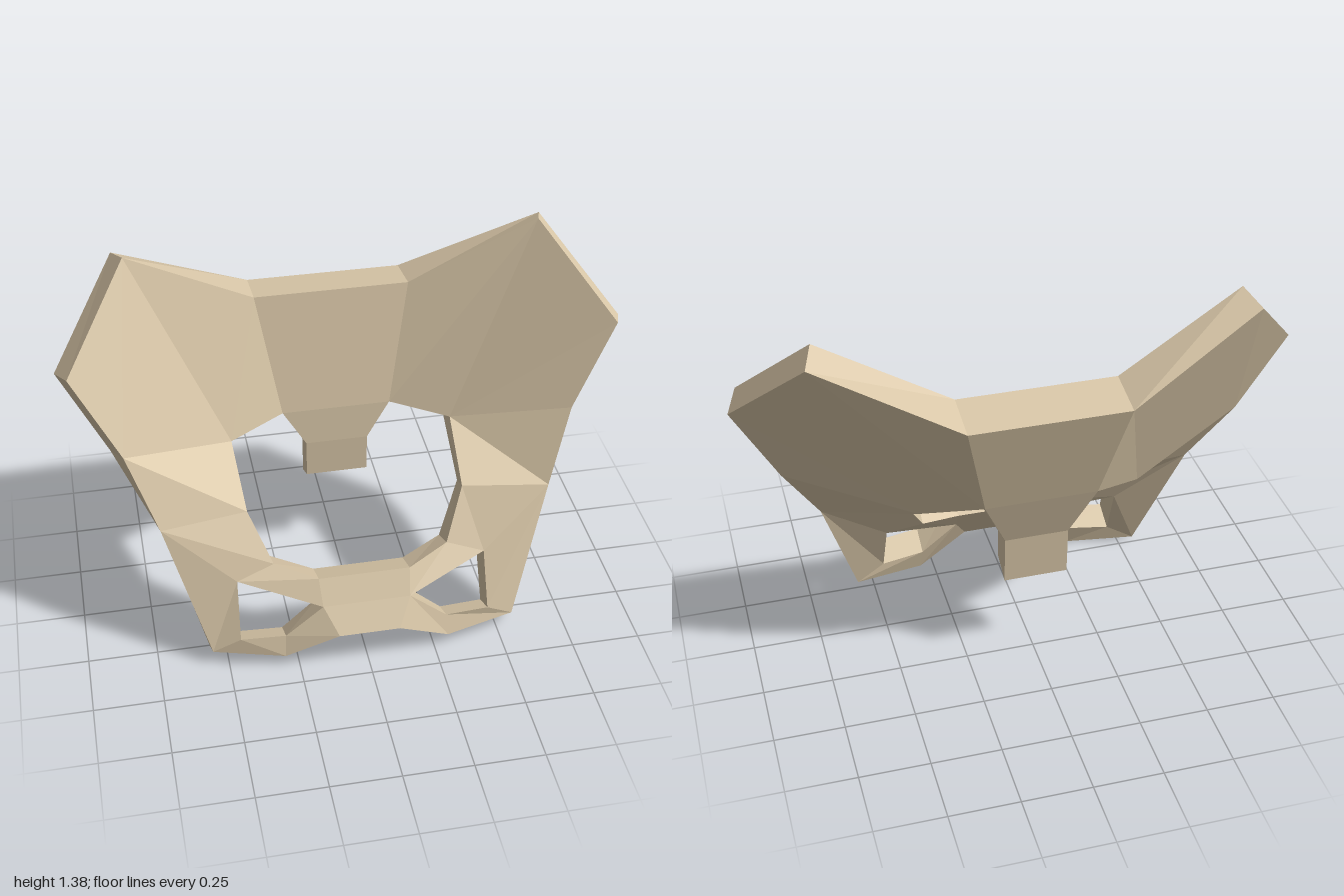
import * as THREE from 'three';

// Landmarks on the model's left half: [front-layer point, back-layer point].
const RIM = {
  A: [[0.28, 1.14, -0.28], [0.28, 1.11, -0.455]],   // top of sacrum
  B: [[0.73, 1.385, -0.22], [0.765, 1.35, -0.325]], // crest peak
  C: [[0.96, 1.095, 0.055], [1.0, 1.06, -0.05]],    // crest tip
  D: [[0.80, 0.79, 0.11], [0.84, 0.75, 0.0]],       // wing waist
  E: [[0.70, 0.54, 0.22], [0.70, 0.49, 0.11]],      // hip
  F: [[0.555, 0.06, 0.35], [0.56, 0.013, 0.265]],   // lower corner
  G: [[0.30, 0.05, 0.41], [0.30, 0.0, 0.32]],       // lower inner corner
  H: [[0.11, 0.15, 0.45], [0.11, 0.10, 0.36]],      // arch under the front joint
};
const OPENING = {
  J: [[0.165, 0.335, 0.34], [0.165, 0.285, 0.225]],
  K: [[0.315, 0.375, 0.275], [0.315, 0.32, 0.165]],
  L: [[0.39, 0.545, 0.175], [0.40, 0.49, 0.07]],
  M: [[0.405, 0.663, -0.09], [0.40, 0.635, -0.19]],
  N: [[0.20, 0.682, -0.20], [0.20, 0.73, -0.35]],
  P: [[0.115, 0.54, -0.19], [0.115, 0.535, -0.29]], // tail shoulder
  Q: [[0.115, 0.395, -0.19], [0.115, 0.35, -0.28]], // tail end
};
const LOWER_HOLE = {
  R: [[0.45, 0.33, 0.295], [0.45, 0.285, 0.19]],
  S: [[0.158, 0.245, 0.39], [0.16, 0.20, 0.285]],
  T: [[0.295, 0.13, 0.39], [0.295, 0.085, 0.295]],
  U: [[0.455, 0.12, 0.37], [0.455, 0.075, 0.275]],
};
const POINTS = { ...RIM, ...OPENING, ...LOWER_HOLE };

// Front-layer quads, counter-clockwise; lower case means mirrored to the right.
const WING = ['NMBA', 'MDCB', 'MLED'];
const LOWER = ['LKRE', 'ERUF', 'FUTG', 'GTSH', 'KJSR'];
const PARTS = {
  sacrum: ['nNAa', 'pPNn', 'qQPp'],
  frontJoint: ['jsSJ', 'shHS'],
  leftWing: WING,
  rightWing: WING.map(mirror),
  leftLowerFrame: LOWER,
  rightLowerFrame: LOWER.map(mirror),
};

function mirror(quad) {
  return [...quad.toLowerCase()].reverse().join('');
}

function point(key, layer) {
  const [x, y, z] = POINTS[key.toUpperCase()][layer];
  return [key === key.toUpperCase() ? x : -x, y, z];
}

function edgesOf(quad) {
  return [0, 1, 2, 3].map((i) => quad[i] + quad[(i + 1) % 4]);
}

// Thick shell: front sheet, back sheet and walls along the open edges.
function shellGeometry(quads, allEdges) {
  const pos = [];
  const addQuad = (a, b, c, d) => pos.push(...a, ...b, ...c, ...a, ...c, ...d);
  for (const quad of quads) {
    const front = [...quad].map((k) => point(k, 0));
    const back = [...quad].map((k) => point(k, 1));
    addQuad(...front);
    addQuad(back[0], back[3], back[2], back[1]);
    for (const [a, b] of edgesOf(quad)) {
      if (allEdges.has(b + a)) continue;
      addQuad(point(b, 0), point(a, 0), point(a, 1), point(b, 1));
    }
  }
  const geometry = new THREE.BufferGeometry();
  geometry.setAttribute('position', new THREE.Float32BufferAttribute(pos, 3));
  geometry.computeVertexNormals();
  return geometry;
}

export function createModel() {
  const group = new THREE.Group();
  group.name = 'pelvis';
  const bone = new THREE.MeshStandardMaterial({ color: 0xd9c7a8 });
  bone.name = 'bone';
  const allEdges = new Set(Object.values(PARTS).flat().flatMap(edgesOf));
  for (const [name, quads] of Object.entries(PARTS)) {
    const mesh = new THREE.Mesh(shellGeometry(quads, allEdges), bone);
    mesh.name = name;
    group.add(mesh);
  }
  return group;
}
